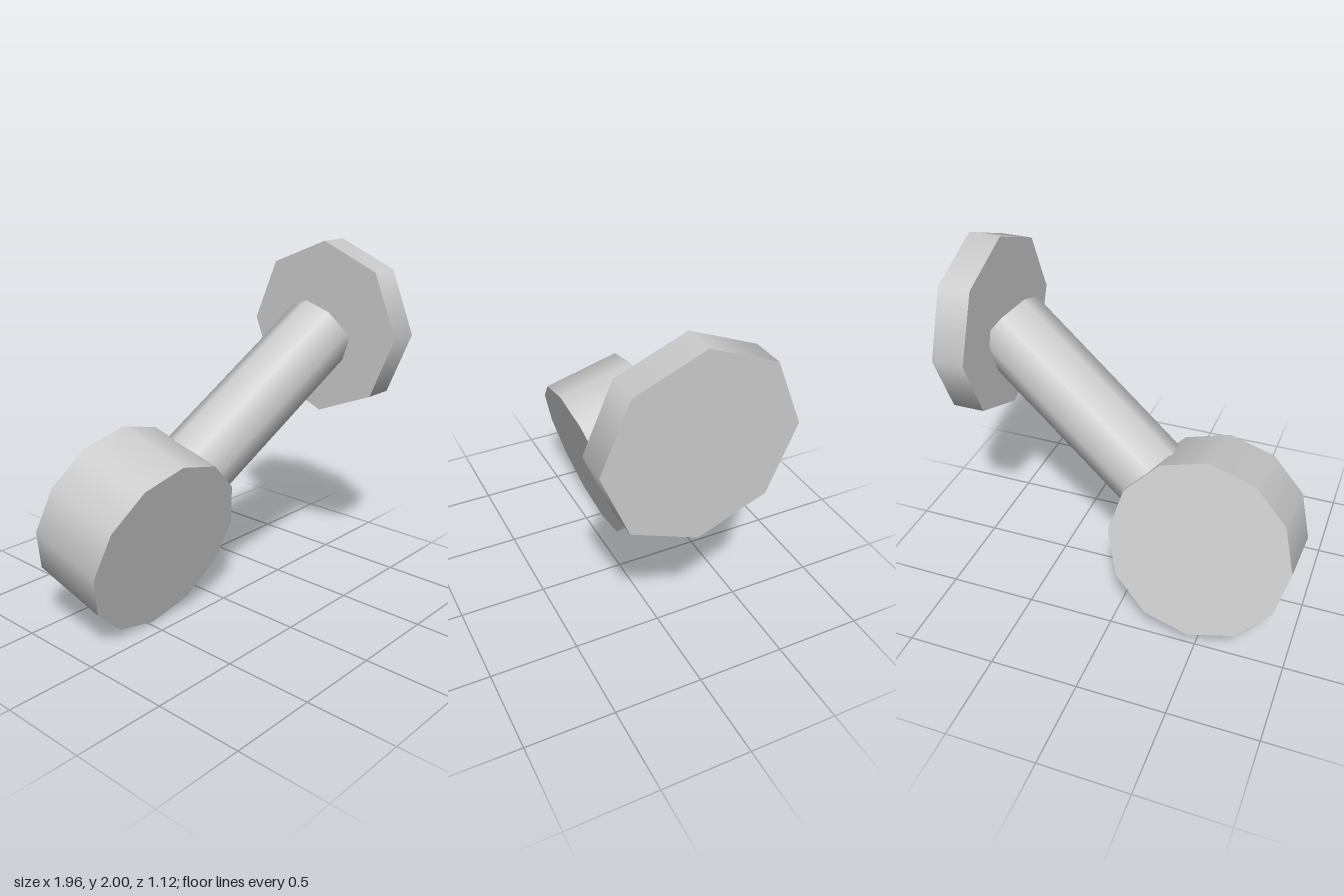
import * as THREE from 'three';

export function createModel() {
  const model = new THREE.Group();
  model.name = 'wallKnob';

  const grey = new THREE.MeshStandardMaterial({ color: 0xcccccc, side: THREE.DoubleSide });
  grey.name = 'light grey';

  const drumCentre = new THREE.Vector3(-0.473, 0.552, -0.2);
  const rodEnd = new THREE.Vector3(0.799, 1.494, 0.056);

  const addPart = (name, geometry, position) => {
    const mesh = new THREE.Mesh(geometry, grey);
    mesh.name = name;
    mesh.position.copy(position);
    model.add(mesh);
    return mesh;
  };

  // Twelve-sided drum, its front tipped downwards
  const drum = addPart('drum',
    new THREE.CylinderGeometry(0.507, 0.507, 0.471, 12).rotateX(Math.PI / 2), drumCentre);
  drum.rotation.x = THREE.MathUtils.degToRad(15);

  // Eight-sided plate facing sideways
  const thickness = 0.179;
  addPart('plate',
    new THREE.CylinderGeometry(0.506, 0.506, thickness, 8).rotateZ(Math.PI / 2),
    new THREE.Vector3(rodEnd.x + thickness / 2, rodEnd.y, rodEnd.z));

  // Open eight-sided tube from the drum's centre to the plate's inner face
  const length = drumCentre.distanceTo(rodEnd);
  const rod = addPart('rod',
    new THREE.CylinderGeometry(0.218, 0.218, length, 8, 1, true).rotateX(Math.PI / 2),
    drumCentre.clone().lerp(rodEnd, 0.5));
  rod.lookAt(rodEnd);

  return model;
}
